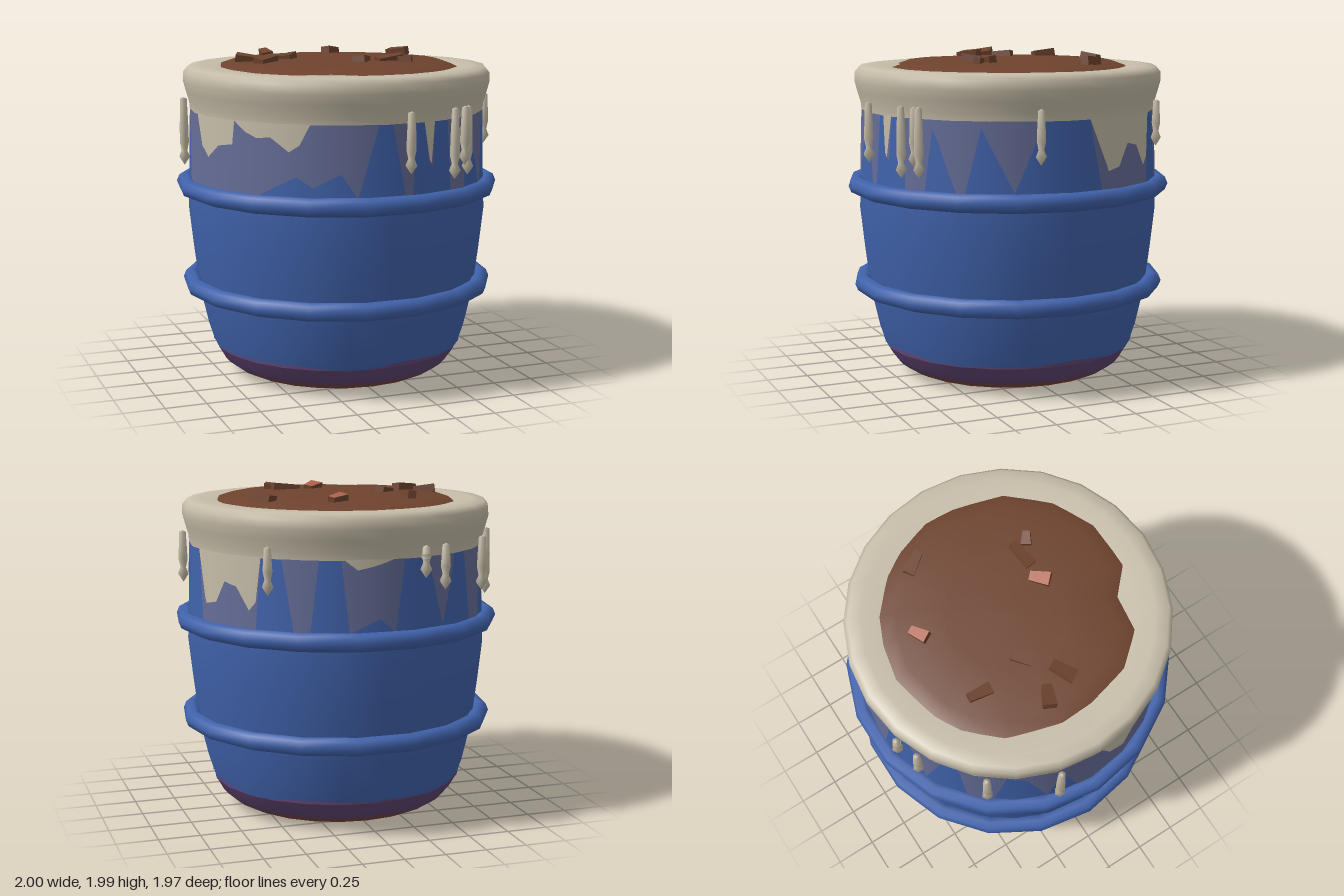
import * as THREE from 'three';

const SIDES = 24;
const DEG = Math.PI / 180;

function makeMaterial(name, color, double = false) {
  const m = new THREE.MeshStandardMaterial({ color });
  m.name = name;
  if (double) m.side = THREE.DoubleSide;
  return m;
}

// Linear interpolation through [key, value] pairs
function interpolate(pairs, k) {
  for (let i = 1; i < pairs.length; i++) {
    const [k0, v0] = pairs[i - 1], [k1, v1] = pairs[i];
    if (k <= k1) return v0 + (v1 - v0) * Math.max(0, (k - k0) / (k1 - k0 || 1));
  }
  return pairs[pairs.length - 1][1];
}

// Barrel wall as [height, radius]
const WALL = [[0.19, 0.775], [0.3, 0.81], [0.52, 0.86], [0.8, 0.895], [1.05, 0.922], [1.24, 0.915], [1.66, 0.9]];

function lathe(points, sides = SIDES) {
  return new THREE.LatheGeometry(points.map(([r, y]) => new THREE.Vector2(r, y)), sides);
}

// Thin painted band lying on the faceted wall between two height functions
function paintStrip(low, high, lift) {
  const pos = [], nor = [], idx = [], half = 180 / SIDES;
  for (let a = 0; a <= 360; a++) {
    const facet = Math.cos(half * DEG) / Math.cos(((a % (2 * half)) - half) * DEG);
    const s = Math.sin(a * DEG), c = Math.cos(a * DEG);
    for (const y of [low(a), high(a)]) {
      const r = interpolate(WALL, y) * facet + lift;
      pos.push(r * s, y, r * c);
      nor.push(s, 0, c);
    }
    if (a < 360) {
      const i = a * 2;
      idx.push(i, i + 2, i + 3, i, i + 3, i + 1);
    }
  }
  const g = new THREE.BufferGeometry();
  g.setAttribute('position', new THREE.Float32BufferAttribute(pos, 3));
  g.setAttribute('normal', new THREE.Float32BufferAttribute(nor, 3));
  g.setIndex(idx);
  return g;
}

// Low dome over an irregular outline
function soilDome(outline) {
  const rings = [[1, 1.915], [0.88, 1.945], [0.5, 1.957]];
  const pos = [], idx = [], n = outline.length;
  for (const [s, y] of rings) for (const [x, z] of outline) pos.push(x * s, y, z * s);
  pos.push(0, 1.96, 0);
  for (let k = 0; k < rings.length; k++) {
    for (let i = 0; i < n; i++) {
      const j = (i + 1) % n, a = k * n + i, b = k * n + j;
      if (k < rings.length - 1) idx.push(a, b + n, b, a, a + n, b + n);
      else idx.push(a, rings.length * n, b);
    }
  }
  const g = new THREE.BufferGeometry();
  g.setAttribute('position', new THREE.Float32BufferAttribute(pos, 3));
  g.setIndex(idx);
  g.computeVertexNormals();
  return g;
}

export function createModel() {
  const group = new THREE.Group();
  const blue = makeMaterial('barrel blue', 0x4062ab);
  const stain = makeMaterial('grey blue stain', 0x666e98, true);
  const cream = makeMaterial('cream glaze', 0xc6bda9, true);
  const soilMat = makeMaterial('brown soil', 0x6e432e, true);
  const purple = makeMaterial('purple fade', 0x5f4472, true);
  const mauve = makeMaterial('mauve fade', 0x70434e);
  const rust = makeMaterial('rust base', 0x82462f);
  const redChip = makeMaterial('red chip', 0xb0634c);

  const add = (name, geometry, material) => {
    const mesh = new THREE.Mesh(geometry, material);
    mesh.name = name;
    group.add(mesh);
    return mesh;
  };

  // Barrel wall and its discoloured foot
  add('barrelWall', lathe(WALL.map(([y, r]) => [r, y])), blue);
  add('purpleFoot', lathe([[0.705, 0.085], [0.735, 0.12], [0.775, 0.19]]), purple);
  add('mauveFoot', lathe([[0.665, 0.055], [0.705, 0.085]]), mauve);
  add('rustFoot', lathe([[0.58, 0.027], [0.62, 0.033], [0.665, 0.055]]), rust);
  add('barrelBottom', lathe([[0, 0.008], [0.4, 0.01], [0.58, 0.027]]), soilMat);
  add('purpleEdge', paintStrip(() => 0.19,
    (a) => 0.203 + 0.01 * Math.sin(a * 5 * DEG) + 0.006 * Math.sin(a * 8 * DEG), 0.003), purple);

  // Hoops
  for (const [y, radius] of [[0.58, 0.912], [1.195, 0.943]]) {
    const hoop = new THREE.TorusGeometry(radius, 0.055, 8, 18);
    hoop.rotateX(Math.PI / 2);
    add('hoop', hoop, blue).position.y = y;
  }

  // Rolled cream rim
  add('rim', lathe([[0.904, 1.655], [0.908, 1.7], [0.928, 1.77], [0.944, 1.83], [0.942, 1.885],
    [0.915, 1.918], [0.84, 1.925], [0.72, 1.915], [0.55, 1.9]]), cream);

  // Stained wedges below the rim: lower edge by angle from the front
  const TOP = 1.66, LOW = 1.24;
  const stainEdge = [
    [0, TOP], [5, LOW], [8, LOW], [10, TOP], [13, TOP], [15, 1.42], [17, 1.4], [18, TOP], [25, TOP], [26, LOW],
    [35, LOW], [38, 1.6], [40, 1.55], [48, LOW], [51, LOW], [57, 1.62], [69, 1.25], [80, TOP], [98, TOP],
    [103, LOW], [132, LOW], [134, TOP], [142, TOP], [147, LOW], [153, LOW], [156, TOP], [164, TOP],
    [167, LOW], [178, 1.32], [184, LOW], [188, TOP], [198, TOP], [205, 1.25], [212, TOP], [219, TOP],
    [222, LOW], [232, LOW], [237, TOP], [244, 1.6], [252, LOW], [257, 1.6], [264, LOW], [310, LOW],
    [317, 1.3], [325, 1.36], [331, 1.3], [341, 1.38], [347, LOW], [355, TOP], [360, TOP]];
  add('stainedWedges', paintStrip((a) => interpolate(stainEdge, a), () => TOP, 0.004), stain);

  // Painted runs of glaze
  const glazeEdge = [
    [0, TOP], [13, TOP], [15, 1.44], [16, 1.42], [18, TOP], [98, TOP], [106, 1.35], [112, 1.37], [117, 1.5],
    [123, 1.48], [129, 1.35], [132, 1.4], [134, TOP], [165, TOP], [170, 1.6], [176, 1.62], [184, TOP],
    [273, TOP], [278, 1.48], [284, 1.42], [290, 1.5], [298, 1.52], [299, TOP], [304, 1.6], [309, 1.57],
    [315, 1.58], [322, 1.5], [326, 1.54], [330, TOP], [360, TOP]];
  add('glazeRuns', paintStrip((a) => interpolate(glazeEdge, a), () => TOP, 0.007), cream);

  // Hanging drips: [angle, lowest point]
  const drips = [[6, 1.37], [26, 1.31], [32, 1.38], [34, 1.32], [78, 1.41], [138, 1.45],
    [195, 1.54], [204, 1.46], [230, 1.4], [256, 1.31]];
  for (const [angle, low] of drips) {
    const h = 1.73 - low;
    const drip = add('drip', lathe([[0, 0], [0.034, 0.05], [0.018, 0.09], [0.029, 0.14],
      [0.027, h * 0.6], [0.021, h - 0.01], [0, h]], 6), cream);
    drip.position.set(0.942 * Math.sin(angle * DEG), low, 0.942 * Math.cos(angle * DEG));
  }

  // Soil with an uneven edge
  add('soil', soilDome([[0, -0.75], [0.22, -0.7], [0.38, -0.63], [0.57, -0.46], [0.66, -0.32], [0.74, -0.1],
    [0.73, 0.08], [0.65, 0.38], [0.45, 0.6], [0.2, 0.72], [-0.1, 0.72], [-0.25, 0.58], [-0.47, 0.55],
    [-0.63, 0.37], [-0.7, 0.1], [-0.71, -0.1], [-0.62, -0.42], [-0.45, -0.6], [-0.3, -0.68]]), soilMat);

  // Chips on the soil: [x, z, length, width, turn, red top]
  const chips = [[0.15, -0.5, 0.11, 0.07, 30, 1], [0.54, -0.3, 0.14, 0.07, -55], [-0.33, -0.4, 0.14, 0.07, 85],
    [-0.55, -0.09, 0.13, 0.08, -25], [-0.28, -0.09, 0.12, 0.08, 45], [-0.47, 0.06, 0.15, 0.08, 30],
    [0.07, 0.26, 0.12, 0.08, 45, 1], [0.25, 0.25, 0.17, 0.07, 8], [0.32, 0.33, 0.08, 0.06, -35]];
  chips.forEach(([x, z, length, width, turn, red], i) => {
    const geometry = new THREE.BoxGeometry(length, 0.05, width);
    const p = geometry.attributes.position;
    // Narrow one end so each chip is a wedge
    for (let k = 0; k < p.count; k++) if (p.getX(k) > 0) p.setZ(k, p.getZ(k) * 0.7);
    geometry.computeVertexNormals();
    const top = red ? redChip : soilMat;
    const chip = add('chip', geometry, [soilMat, soilMat, top, soilMat, soilMat, soilMat]);
    chip.position.set(x, 1.962, z);
    chip.rotation.set(i % 2 ? 0.15 : -0.15, turn * DEG, i % 3 ? 0.12 : -0.14, 'YXZ');
  });

  return group;
}
